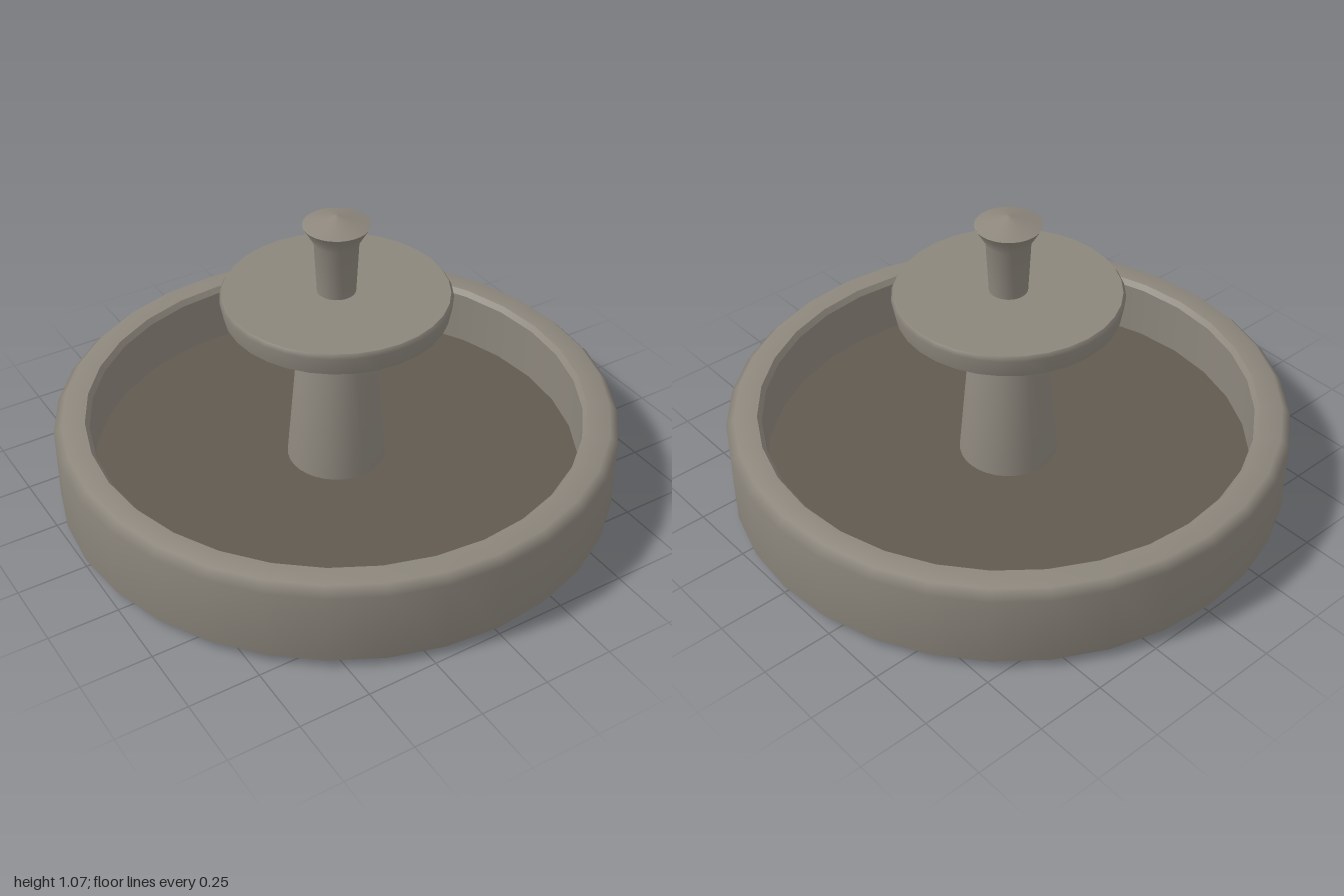
import * as THREE from 'three';

const SEGMENTS = 32;

// Each run is a smooth profile of [radius, height]; edges between runs stay sharp.
function turned(name, material, runs) {
  const part = new THREE.Group();
  part.name = name;
  runs.forEach((run, i) => {
    const points = run.map(([r, y]) => new THREE.Vector2(r, y));
    const mesh = new THREE.Mesh(new THREE.LatheGeometry(points, SEGMENTS), material);
    mesh.name = `${name}Surface${i + 1}`;
    part.add(mesh);
  });
  return part;
}

export function createModel() {
  const stone = new THREE.MeshStandardMaterial({ color: 0x8c867c });
  stone.name = 'stone';
  const darkFloor = new THREE.MeshStandardMaterial({ color: 0x615a50 });
  darkFloor.name = 'dark floor';

  const model = new THREE.Group();
  model.name = 'fountain';

  // Basin: rounded outside and rim, bevelled inner lip, straight inner wall
  model.add(turned('basin', stone, [
    [[0, 0], [0.97, 0], [1, 0.03], [1, 0.29], [0.97, 0.32], [0.89, 0.32]],
    [[0.89, 0.32], [0.875, 0.3]],
    [[0.875, 0.3], [0.875, 0.09]],
  ]));

  // Basin floor
  const floor = new THREE.Mesh(new THREE.CircleGeometry(0.875, SEGMENTS), darkFloor);
  floor.name = 'basinFloor';
  floor.rotation.x = -Math.PI / 2;
  floor.position.y = 0.095;
  model.add(floor);

  // Tapered pedestal under the upper dish
  model.add(turned('pedestal', stone, [
    [[0.178, 0.09], [0.14, 0.52], [0.07, 0.648]],
  ]));

  // Upper dish with sloping underside and flat top
  model.add(turned('upperDish', stone, [
    [[0.06, 0.645], [0.388, 0.7]],
    [[0.388, 0.7], [0.4, 0.765], [0.39, 0.78]],
    [[0.39, 0.78], [0, 0.78]],
  ]));

  // Spout with flared head and shallow cone cap
  model.add(turned('spout', stone, [
    [[0.067, 0.775], [0.077, 0.97], [0.115, 1.035]],
    [[0.115, 1.035], [0, 1.07]],
  ]));

  return model;
}
